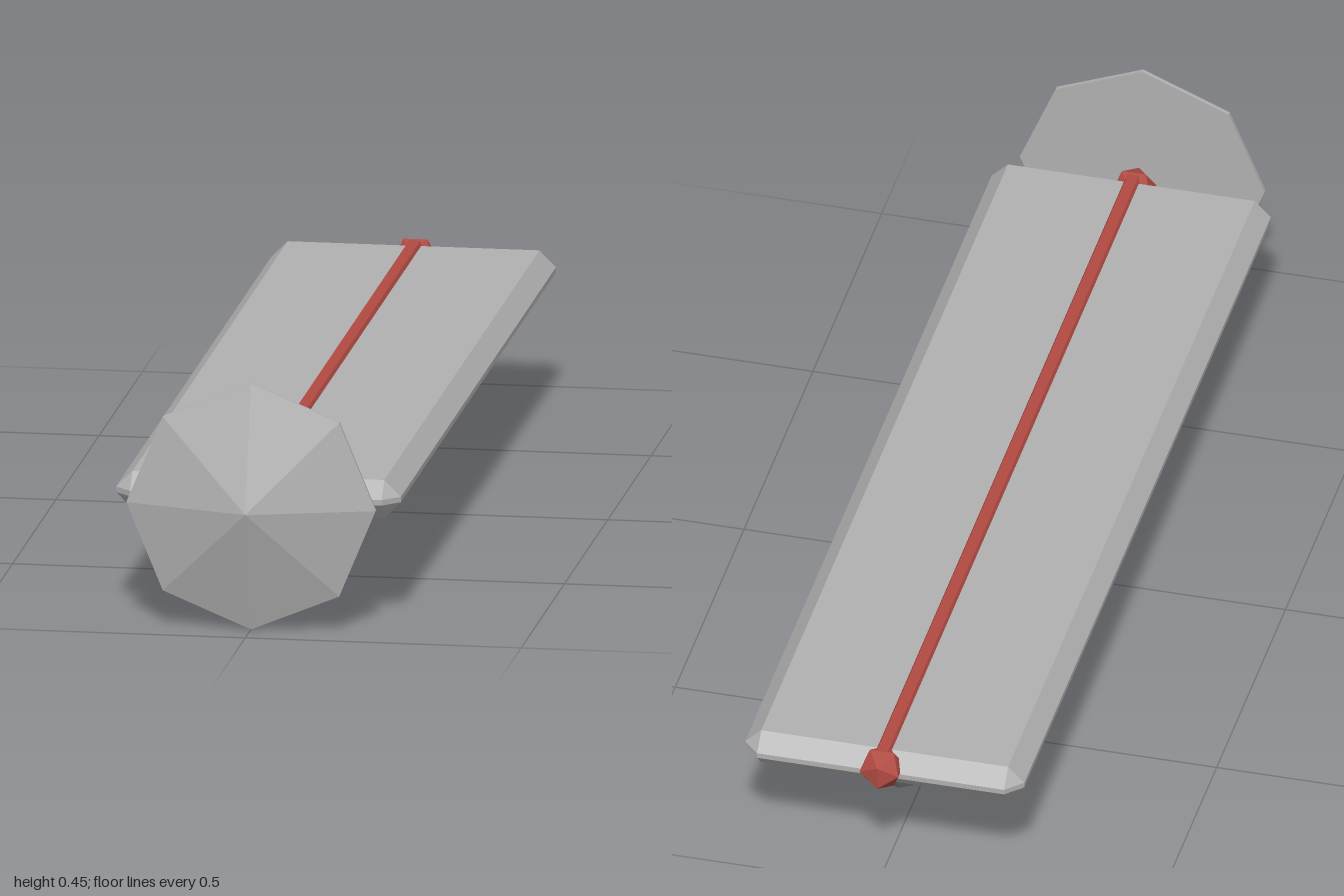
import * as THREE from 'three';
import { ConvexGeometry } from 'three/addons/geometries/ConvexGeometry.js';

// Faceted normals for low-poly parts
function faceted(geometry) {
  const flat = geometry.index ? geometry.toNonIndexed() : geometry;
  flat.computeVertexNormals();
  return flat;
}

// Box with every edge and corner cut off by a flat chamfer
function chamferedBox(hx, hy, hz, c) {
  const points = [];
  for (const x of [-1, 1]) for (const y of [-1, 1]) for (const z of [-1, 1]) {
    points.push(
      new THREE.Vector3(x * hx, y * (hy - c), z * (hz - c)),
      new THREE.Vector3(x * (hx - c), y * hy, z * (hz - c)),
      new THREE.Vector3(x * (hx - c), y * (hy - c), z * hz)
    );
  }
  return new ConvexGeometry(points);
}

export function createModel() {
  const model = new THREE.Group();
  const grey = new THREE.MeshStandardMaterial({ name: 'grey', color: 0xb0b0b0 });
  const darkGrey = new THREE.MeshStandardMaterial({ name: 'darkGrey', color: 0x707276 });
  const red = new THREE.MeshStandardMaterial({ name: 'red', color: 0xb04a42 });

  function add(name, geometry, material, x, y, z) {
    const mesh = new THREE.Mesh(geometry, material);
    mesh.name = name;
    mesh.position.set(x, y, z);
    model.add(mesh);
    return mesh;
  }

  const midZ = -0.049;

  // Long flat board
  add('board', chamferedBox(0.258, 0.035, 0.926, 0.03), grey, 0, 0.228, midZ);

  // Red rod lying along the top, six-sided with a flat on top
  const rod = new THREE.CylinderGeometry(0.02, 0.02, 1.84, 6);
  rod.rotateX(Math.PI / 2);
  rod.rotateZ(Math.PI / 2);
  add('rod', faceted(rod), red, 0, 0.252, midZ);

  // Faceted knob at each end of the rod
  for (const [name, side] of [['frontKnob', 1], ['backKnob', -1]]) {
    add(name, new THREE.IcosahedronGeometry(0.042, 0), red, 0, 0.235, midZ + side * 0.916);
  }

  // Eight-sided shallow cone with a thin rim, pointing forward
  const cone = new THREE.LatheGeometry([
    new THREE.Vector2(0, 0),
    new THREE.Vector2(0.226, 0),
    new THREE.Vector2(0.226, 0.008),
    new THREE.Vector2(0, 0.074),
  ], 8);
  cone.rotateX(Math.PI / 2);
  add('frontCone', faceted(cone), grey, 0, 0.226, 0.926);

  // Small tapered foot under the back end
  const foot = new THREE.CylinderGeometry(0.075, 0.03, 0.08, 6);
  add('foot', faceted(foot), darkGrey, 0, 0.148, -0.817);

  return model;
}
